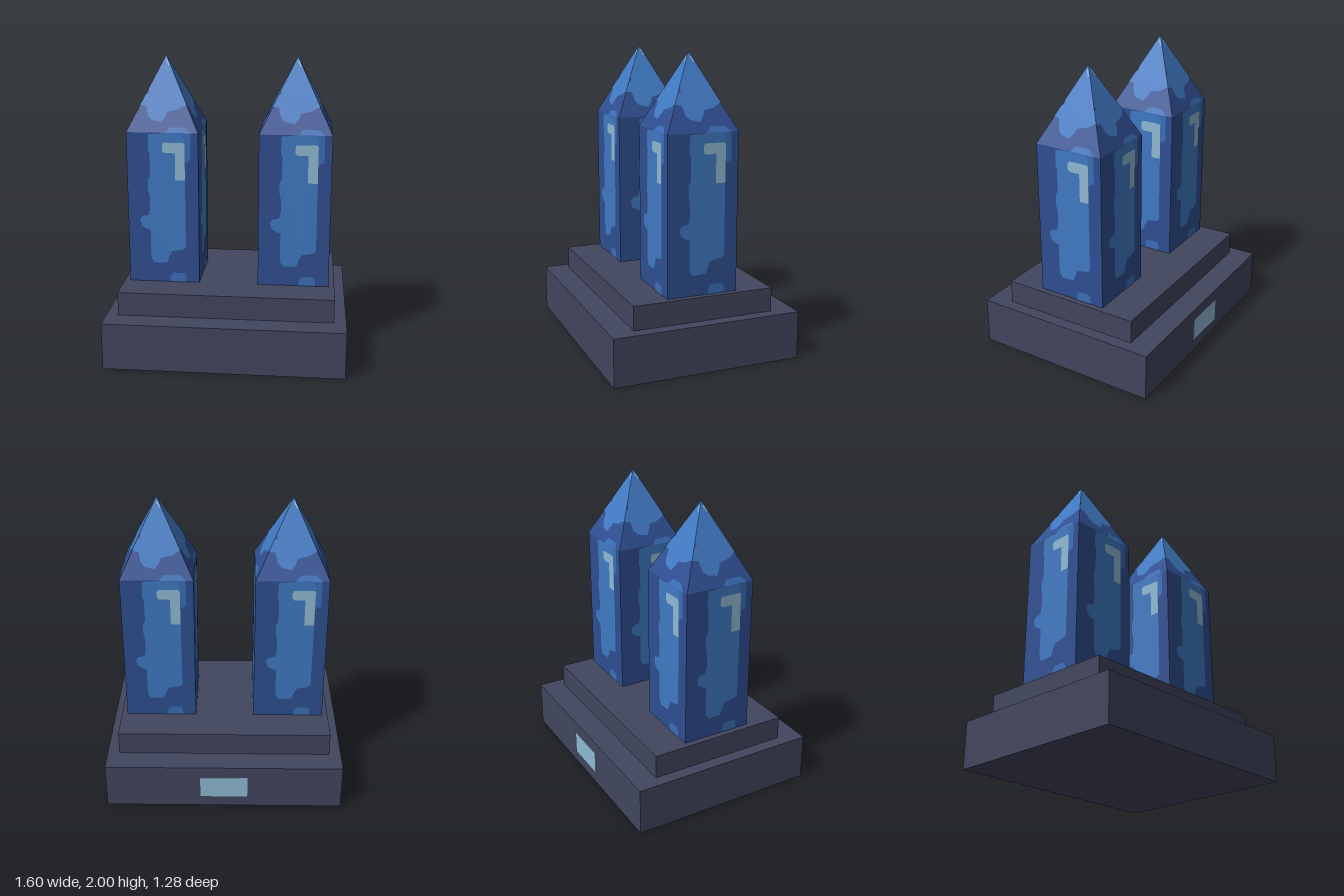
import * as THREE from 'three';

const paint = (name, color) => {
  const m = new THREE.MeshStandardMaterial({ color });
  m.name = name;
  return m;
};

const stone = paint('slate stone', 0x42465e);
const deepBlue = paint('deep blue', 0x2f4f92);
const midBlue = paint('mid blue', 0x407ac4);
const edgeBlue = paint('edge blue', 0x3a6fb8);
const pale = paint('pale blue', 0x90bad4);

const HALF = 0.24;       // half width of a crystal
const SHOULDER = 1.52;   // height where the point starts
const TIP = 2;

// Outlines on one crystal side: [sideways, height]
const mainPatch = [
  [-0.09, 1.51], [0.02, 1.52], [0.13, 1.515], [0.15, 1.48], [0.15, 0.73], [0.13, 0.715], [0.055, 0.7],
  [0.035, 0.66], [0.02, 0.62], [-0.07, 0.615], [-0.09, 0.65], [-0.09, 0.85], [-0.12, 0.86],
  [-0.15, 0.88], [-0.16, 0.92], [-0.145, 0.945], [-0.1, 0.955], [-0.09, 1.0], [-0.09, 1.08],
  [-0.1, 1.13], [-0.1, 1.2], [-0.085, 1.225], [-0.085, 1.38], [-0.095, 1.4],
];
const shoulderPatch = [[0.02, 1.52], [0.19, 1.52], [0.19, 1.34], [0.15, 1.32], [0.1, 1.32], [0.1, 1.48]];
const footPatch = [[0.04, 0.48], [0.15, 0.48], [0.15, 0.525], [0.135, 0.545], [0.06, 0.545], [0.04, 0.52]];
const glint = [
  [0, 1.44], [0.01, 1.455], [0.14, 1.455], [0.15, 1.445], [0.15, 1.2],
  [0.085, 1.2], [0.085, 1.385], [0.015, 1.385], [0, 1.4],
];
const pointPatch = [
  [0, 2.004], [-0.107, 1.79], [-0.1, 1.765], [-0.122, 1.76], [-0.157, 1.69], [-0.115, 1.685], [-0.1, 1.625],
  [-0.075, 1.6], [-0.01, 1.585], [0.015, 1.615], [0.03, 1.65], [0.105, 1.667], [0.152, 1.695], [0.154, 1.696],
];
const pointEdgePatch = [[0.02, 1.52], [0.05, 1.555], [0.15, 1.555], [0.19, 1.52]];
const tipGlint = [[0.003, 1.98], [0.009, 1.975], [0.026, 1.94], [0.016, 1.938], [0.012, 1.955], [0.003, 1.96]];

// Thin painted face lying just off the upright side or the sloping point
function patch(name, outline, material, lift, sloped = false) {
  const shape = new THREE.Shape(outline.map(([u, y]) => new THREE.Vector2(u, y)));
  const geo = new THREE.ShapeGeometry(shape);
  const pos = geo.attributes.position;
  for (let i = 0; i < pos.count; i++) {
    const z = sloped ? HALF * (TIP - pos.getY(i)) / (TIP - SHOULDER) : HALF;
    pos.setZ(i, z + lift);
  }
  geo.computeVertexNormals();
  const mesh = new THREE.Mesh(geo, material);
  mesh.name = name;
  return mesh;
}

function box(name, w, h, d, y, material) {
  const mesh = new THREE.Mesh(new THREE.BoxGeometry(w, h, d), material);
  mesh.position.y = y + h / 2;
  mesh.name = name;
  return mesh;
}

function crystal(name) {
  const g = new THREE.Group();
  g.name = name;
  g.add(box('crystalShaft', HALF * 2, SHOULDER - 0.48, HALF * 2, 0.48, deepBlue));

  // Four-sided point
  let geo = new THREE.ConeGeometry(HALF * Math.SQRT2, TIP - SHOULDER, 4, 1, true);
  geo.rotateY(Math.PI / 4);
  geo = geo.toNonIndexed();
  geo.computeVertexNormals();
  const point = new THREE.Mesh(geo, deepBlue);
  point.position.y = (TIP + SHOULDER) / 2;
  point.name = 'crystalPoint';
  g.add(point);

  // The same markings on all four sides
  for (let i = 0; i < 4; i++) {
    const side = new THREE.Group();
    side.name = 'sideMarkings';
    side.rotation.y = i * Math.PI / 2;
    side.add(
      patch('shoulderPatch', shoulderPatch, edgeBlue, 0.0015),
      patch('mainPatch', mainPatch, midBlue, 0.003),
      patch('footPatch', footPatch, edgeBlue, 0.002),
      patch('glint', glint, pale, 0.005),
      patch('pointPatch', pointPatch, midBlue, 0.002, true),
      patch('pointEdgePatch', pointEdgePatch, edgeBlue, 0.002, true),
      patch('tipGlint', tipGlint, pale, 0.004, true),
    );
    g.add(side);
  }
  return g;
}

export function createModel() {
  const model = new THREE.Group();
  model.name = 'twinCrystals';

  // Stepped plinth
  model.add(box('base', 1.6, 0.32, 1.28, 0, stone));
  model.add(box('step', 1.44, 0.16, 0.96, 0.32, stone));

  // Plate on the back of the base
  const plate = box('backPlate', 0.32, 0.16, 0.006, 0.08, pale);
  plate.position.z = -0.641;
  model.add(plate);

  for (const s of [-1, 1]) {
    const c = crystal(s > 0 ? 'leftCrystal' : 'rightCrystal');
    c.position.x = s * 0.44;
    model.add(c);
  }
  return model;
}
